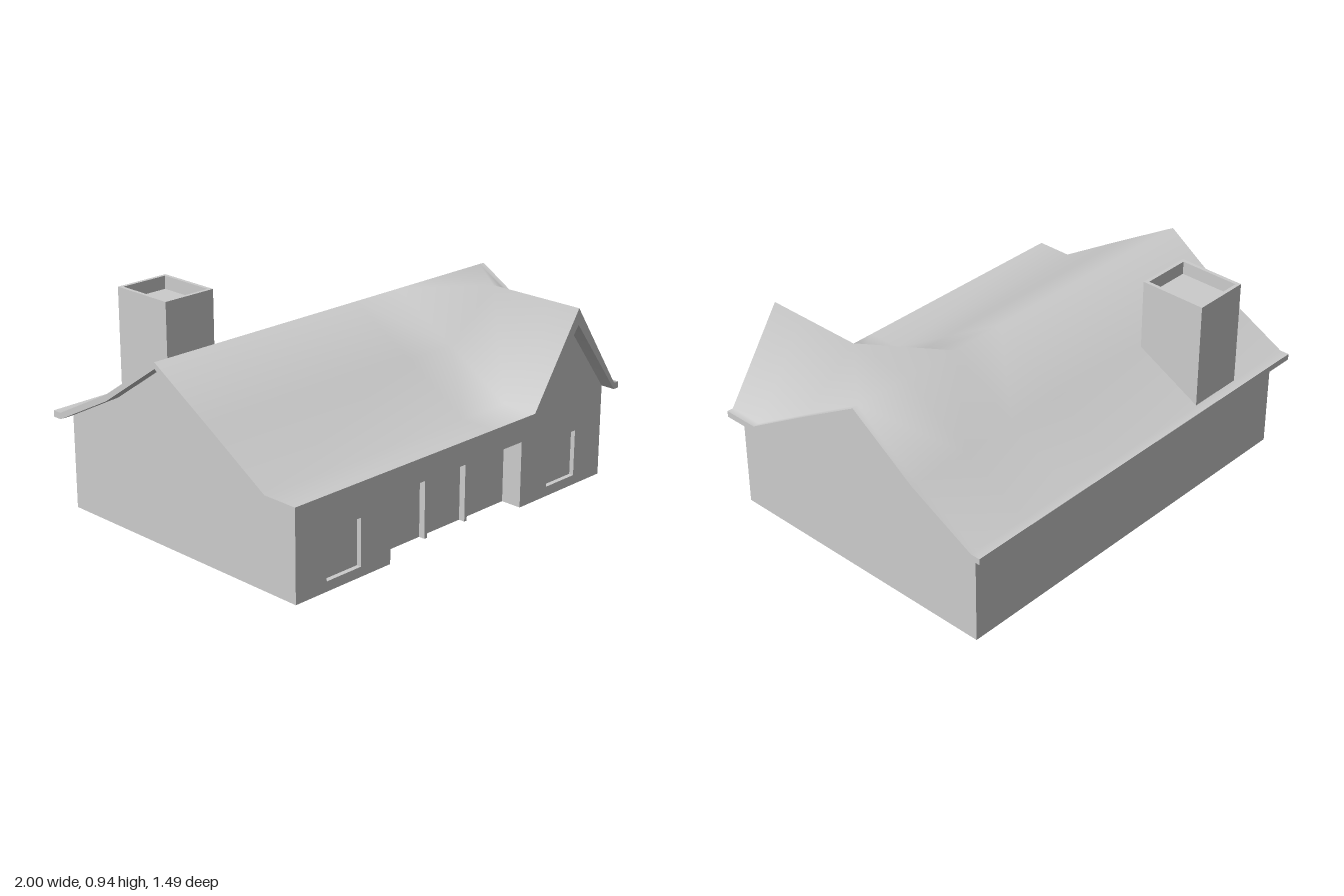
import * as THREE from 'three';

const grey = new THREE.MeshStandardMaterial({ color: 0xcccccc, side: THREE.DoubleSide });

// Roof grid: columns run along the house, rows run from front eave to back eave
const COLS = [-1, 0.15, 0.42, 0.695, 0.97, 1];
const ROWS = [[0.745, 0.455], [0.575, 0.455], [0.26, 0.648], [-0.06, 0.84], [-0.38, 0.62], [-0.7, 0.455], [-0.745, 0.455]];
const PEAK = 3; // column of the front gable ridge
const THICK = 0.029;
const WALL = { left: -0.935, right: 0.97, front: 0.677, back: -0.695, top: 0.43 };

function addMesh(parent, name, geometry) {
  const mesh = new THREE.Mesh(geometry, grey);
  mesh.name = name;
  parent.add(mesh);
  return mesh;
}

function shapeOf(points) {
  return new THREE.Shape(points.map(([x, y]) => new THREE.Vector2(x, y)));
}

function roofPoint(i, j, under) {
  const [z, y] = ROWS[j];
  const onGable = i === PEAK && j <= 2;
  const top = onGable ? 0.865 : y;
  return [COLS[i], under ? top - (onGable ? 0.075 : THICK) : top, z];
}

// One smooth skin of the roof, facing up or down
function roofSkin(under) {
  const positions = [], index = [], n = COLS.length;
  ROWS.forEach((_, j) => COLS.forEach((_, i) => positions.push(...roofPoint(i, j, under))));
  for (let j = 0; j < ROWS.length - 1; j++) {
    for (let i = 0; i < n - 1; i++) {
      const a = j * n + i, b = a + 1, d = a + n, c = d + 1;
      // diagonals fan out from the back end of the gable ridge to form the valleys
      const tris = (i === PEAK) === (j === 2) ? [[a, b, c], [a, c, d]] : [[a, b, d], [b, c, d]];
      tris.forEach(t => index.push(...(under ? t.reverse() : t)));
    }
  }
  const g = new THREE.BufferGeometry();
  g.setAttribute('position', new THREE.Float32BufferAttribute(positions, 3));
  g.setIndex(index);
  g.computeVertexNormals();
  return g;
}

// Flat strip that closes the roof slab all around
function roofEdge() {
  const loop = [], I = COLS.length - 1, J = ROWS.length - 1;
  for (let i = 0; i < I; i++) loop.push([i, 0]);
  for (let j = 0; j < J; j++) loop.push([I, j]);
  for (let i = I; i > 0; i--) loop.push([i, J]);
  for (let j = J; j > 0; j--) loop.push([0, j]);
  const positions = [];
  loop.forEach((p, k) => {
    const q = loop[(k + 1) % loop.length];
    const a = roofPoint(...p, true), b = roofPoint(...q, true);
    const c = roofPoint(...q, false), d = roofPoint(...p, false);
    positions.push(...a, ...b, ...c, ...a, ...c, ...d);
  });
  const g = new THREE.BufferGeometry();
  g.setAttribute('position', new THREE.Float32BufferAttribute(positions, 3));
  g.computeVertexNormals();
  return g;
}

// Box set back into a wall, open at the front and optionally at the bottom
function pocket(x0, x1, y0, y1, depth, openBottom) {
  const g = new THREE.BoxGeometry(x1 - x0, y1 - y0, depth);
  const index = Array.from(g.index.array);
  g.setIndex(index.filter((_, k) => !(k >= 24 && k < 30) && !(openBottom && k >= 18 && k < 24)));
  g.clearGroups();
  // the visible side is the inside
  g.scale(1, 1, 1).translate((x0 + x1) / 2, (y0 + y1) / 2, WALL.front - depth / 2);
  return g;
}

export function createModel() {
  const house = new THREE.Group();
  house.name = 'house';

  // Roof
  const roof = new THREE.Group();
  roof.name = 'roof';
  house.add(roof);
  addMesh(roof, 'roofTop', roofSkin(false));
  addMesh(roof, 'roofUnderside', roofSkin(true));
  addMesh(roof, 'roofEdge', roofEdge());

  // Front wall with its gable, porch notch and window openings
  const porch = [-0.4, 0.42, 0, 0.307];
  const windows = [[-0.765, -0.572, 0.045, 0.26], [0.6, 0.79, 0.045, 0.26]];
  const front = shapeOf([
    [WALL.left, 0], [porch[0], 0], [porch[0], porch[3]], [porch[1], porch[3]], [porch[1], 0],
    [WALL.right, 0], [WALL.right, WALL.top], [0.695, 0.79], [0.42, WALL.top], [WALL.left, WALL.top],
  ]);
  for (const [x0, x1, y0, y1] of windows) {
    front.holes.push(shapeOf([[x0, y0], [x0, y1], [x1, y1], [x1, y0]]));
  }
  addMesh(house, 'frontWall', new THREE.ShapeGeometry(front)).position.z = WALL.front;
  windows.forEach(w => addMesh(house, 'window', pocket(...w, 0.022, false)));
  addMesh(house, 'porch', pocket(...porch, 0.1, true));

  // Door frame standing proud of the porch wall
  const frame = shapeOf([
    [-0.118, 0], [-0.102, 0], [-0.102, 0.285], [0.135, 0.285],
    [0.135, 0], [0.151, 0], [0.151, 0.306], [-0.118, 0.306],
  ]);
  addMesh(house, 'doorFrame', new THREE.ExtrudeGeometry(frame, { depth: 0.03, bevelEnabled: false }))
    .position.z = WALL.front - 0.1;

  // Gable end walls follow the roof underside
  const slope = ROWS.slice(1, 5).map(([z, y]) => [-z, y - THICK]);
  const gable = shapeOf([
    [-WALL.front, 0], [-WALL.front, WALL.top - 0.004], ...slope,
    [-WALL.back, WALL.top], [-WALL.back, 0],
  ]);
  for (const side of ['left', 'right']) {
    const g = new THREE.ShapeGeometry(gable).rotateY(Math.PI / 2);
    addMesh(house, 'gableWall', g).position.x = WALL[side];
  }

  // Back wall
  const width = WALL.right - WALL.left;
  const back = new THREE.PlaneGeometry(width, WALL.top).rotateY(Math.PI);
  addMesh(house, 'backWall', back).position.set((WALL.left + WALL.right) / 2, WALL.top / 2, WALL.back);

  // Chimney: body cut to the roof slope, with a hollow rim on top
  const chimney = new THREE.Group();
  chimney.name = 'chimney';
  house.add(chimney);
  const [cx0, cx1, cz0, cz1, rimY] = [-0.662, -0.396, -0.698, -0.383, 0.885];
  const body = shapeOf([[-cz1, 0.605], [-cz0, 0.442], [-cz0, rimY], [-cz1, rimY]]);
  const bodyGeo = new THREE.ExtrudeGeometry(body, { depth: cx1 - cx0, bevelEnabled: false });
  addMesh(chimney, 'chimneyBody', bodyGeo.rotateY(Math.PI / 2)).position.x = cx0;

  const rect = m => [[cx0 + m, -cz1 + m], [cx1 - m, -cz1 + m], [cx1 - m, -cz0 - m], [cx0 + m, -cz0 - m]];
  const rim = shapeOf(rect(0));
  rim.holes.push(shapeOf(rect(0.017)));
  const rimGeo = new THREE.ExtrudeGeometry(rim, { depth: 0.945 - rimY, bevelEnabled: false });
  addMesh(chimney, 'chimneyRim', rimGeo.rotateX(-Math.PI / 2)).position.y = rimY;

  return house;
}
